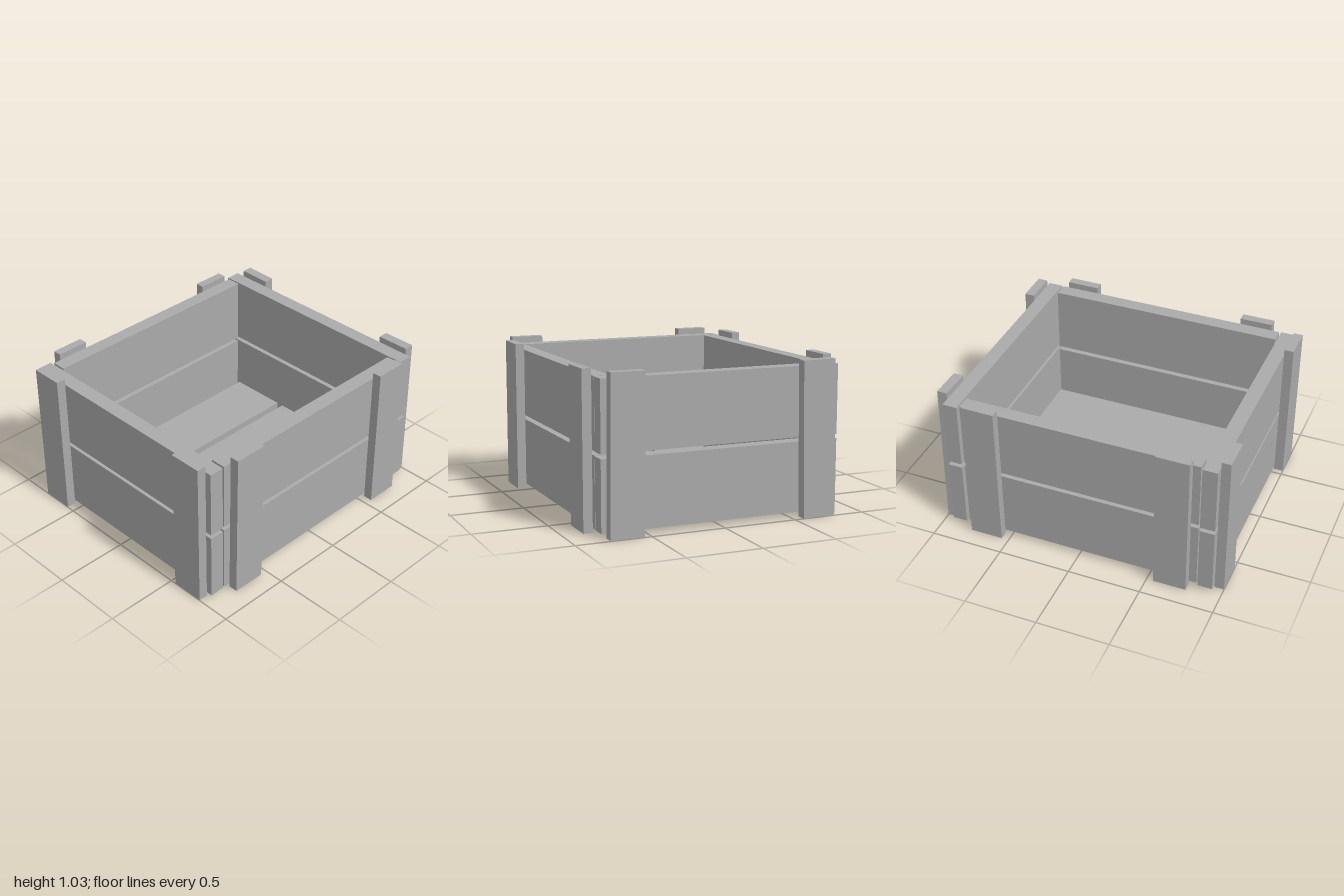
import * as THREE from 'three';

export function createModel() {
  const crate = new THREE.Group();
  crate.name = 'crate';
  const wood = new THREE.MeshStandardMaterial({ color: 0xaaaaaa });
  wood.name = 'plain grey';

  // A board given by its extents along x, y and z, with an optional slight tilt
  function board(name, [x0, x1], [y0, y1], [z0, z1], tiltX = 0, tiltZ = 0) {
    const mesh = new THREE.Mesh(new THREE.BoxGeometry(x1 - x0, y1 - y0, z1 - z0), wood);
    mesh.name = name;
    mesh.position.set((x0 + x1) / 2, (y0 + y1) / 2, (z0 + z1) / 2);
    mesh.rotation.set(tiltX, 0, tiltZ);
    crate.add(mesh);
  }

  // Walls: two stacked planks on each side
  const inner = [-0.822, 0.82];
  const long = [-0.833, 0.807];
  for (const [row, y] of [['lower', [0.033, 0.497]], ['upper', [0.525, 0.987]]]) {
    board(`${row}FrontPlank`, inner, y, [0.703, 0.804]);
    board(`${row}BackPlank`, inner, y, [-0.814, -0.716]);
    board(`${row}LeftPlank`, [0.832, 0.932], y, long);
    board(`${row}RightPlank`, [-0.936, -0.836], y, long);
  }

  // Floor: three planks with gaps
  for (const z of [[-0.696, -0.29], [-0.242, 0.223], [0.267, 0.696]]) {
    board('floorPlank', inner, [0.033, 0.133], z);
  }

  // Corner battens, nailed on a little crooked
  const tall = [0.003, 1.03];
  const front = [0.804, 0.866];
  const back = [-0.874, -0.814];
  board('frontRightBatten', [-0.77, -0.543], tall, front, 0, -0.008);
  board('frontLeftBatten', [0.55, 0.777], tall, front, 0, 0.004);
  board('backRightBatten', [-0.77, -0.545], tall, back);
  board('backLeftBatten', [0.55, 0.775], tall, back);
  const left = [0.932, 1];
  const right = [-1, -0.936];
  board('leftFrontBatten', left, tall, [0.543, 0.77], -0.009);
  board('leftBackBatten', left, tall, [-0.78, -0.553], 0.019);
  board('rightFrontBatten', right, tall, [0.538, 0.763]);
  board('rightBackBatten', right, tall, [-0.777, -0.556]);

  return crate;
}
